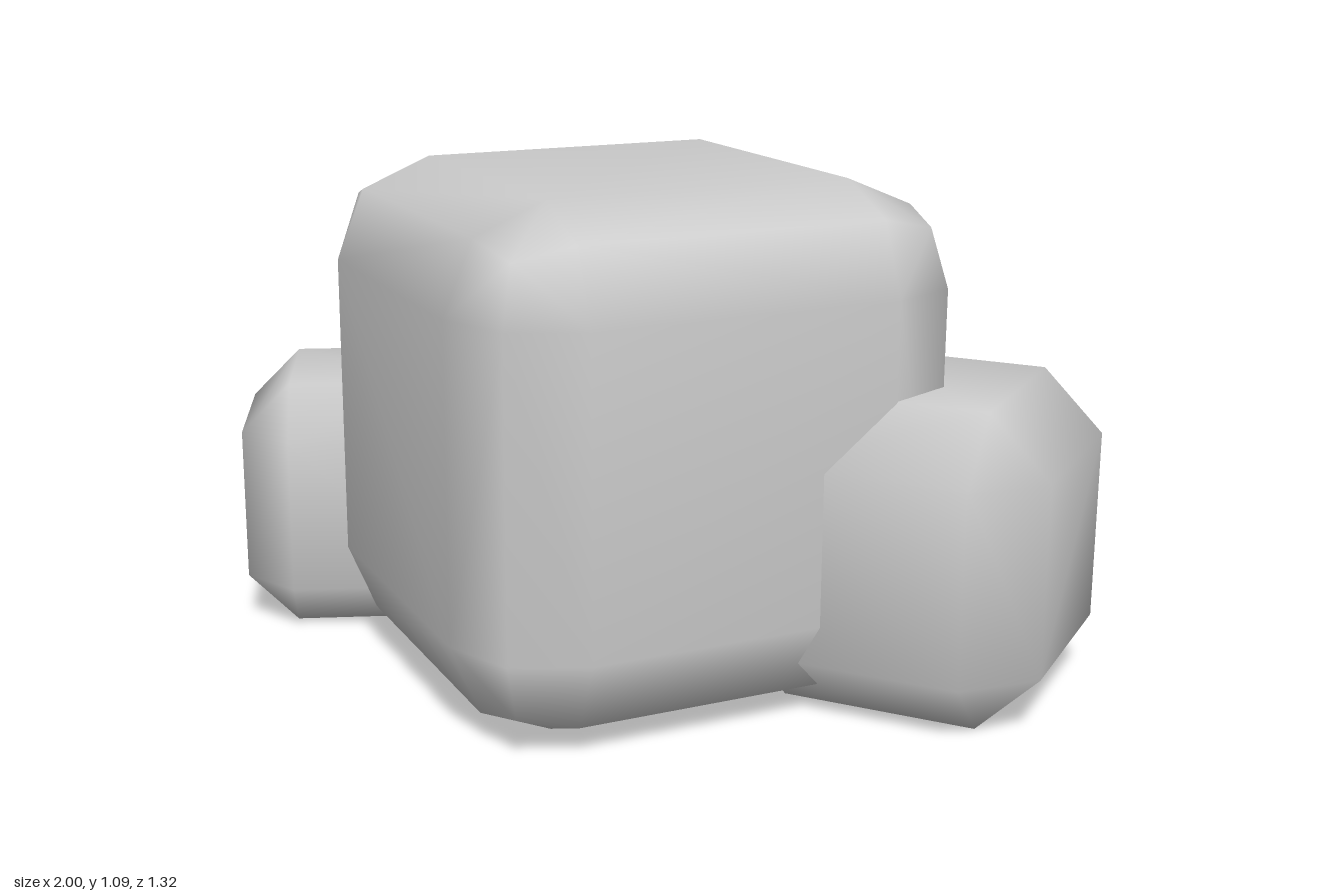
import * as THREE from 'three';
import { ConvexGeometry } from 'three/addons/geometries/ConvexGeometry.js';
import { mergeVertices } from 'three/addons/utils/BufferGeometryUtils.js';

const material = new THREE.MeshStandardMaterial({ color: 0xcccccc });

// Directions from the inner core of a corner to its bevel points
const chamferDirs = [[1, 0, 0], [0, 1, 0], [0, 0, 1]];
const roundDirs = [...chamferDirs, [1, 1, 0], [1, 0, 1], [0, 1, 1], [1, 1, 1]];

// Cube with bevelled edges and corners, shaded smooth
function bevelledCube(width, height, bevel, dirs) {
  const points = [];
  for (const sx of [-1, 1]) for (const sy of [-1, 1]) for (const sz of [-1, 1]) {
    for (const dir of dirs) {
      const d = new THREE.Vector3(...dir).setLength(bevel);
      points.push(new THREE.Vector3(
        sx * (width / 2 - bevel + d.x),
        sy * (height / 2 - bevel + d.y),
        sz * (width / 2 - bevel + d.z)
      ));
    }
  }
  let geometry = new ConvexGeometry(points);
  geometry.deleteAttribute('normal');
  geometry = mergeVertices(geometry, 1e-4);
  geometry.computeVertexNormals();
  return geometry;
}

export function createModel() {
  const group = new THREE.Group();
  group.name = 'boulderCluster';

  const addBlock = (name, width, height, bevel, dirs, x, z, turn) => {
    const mesh = new THREE.Mesh(bevelledCube(width, height, bevel, dirs), material);
    mesh.name = name;
    mesh.position.set(x, height / 2, z);
    mesh.rotation.y = turn;
    group.add(mesh);
  };

  // Large central block with two-step rounded edges
  addBlock('largeBlock', 1.096, 1.09, 0.215, roundDirs, 0.045, 0, -0.506);
  // Smaller chamfered blocks on either side
  addBlock('leftBlock', 0.675, 0.67, 0.13, chamferDirs, 0.631, -0.23, 0.177);
  addBlock('rightBlock', 0.57, 0.567, 0.111, chamferDirs, -0.671, 0.065, 0.72);

  return group;
}
